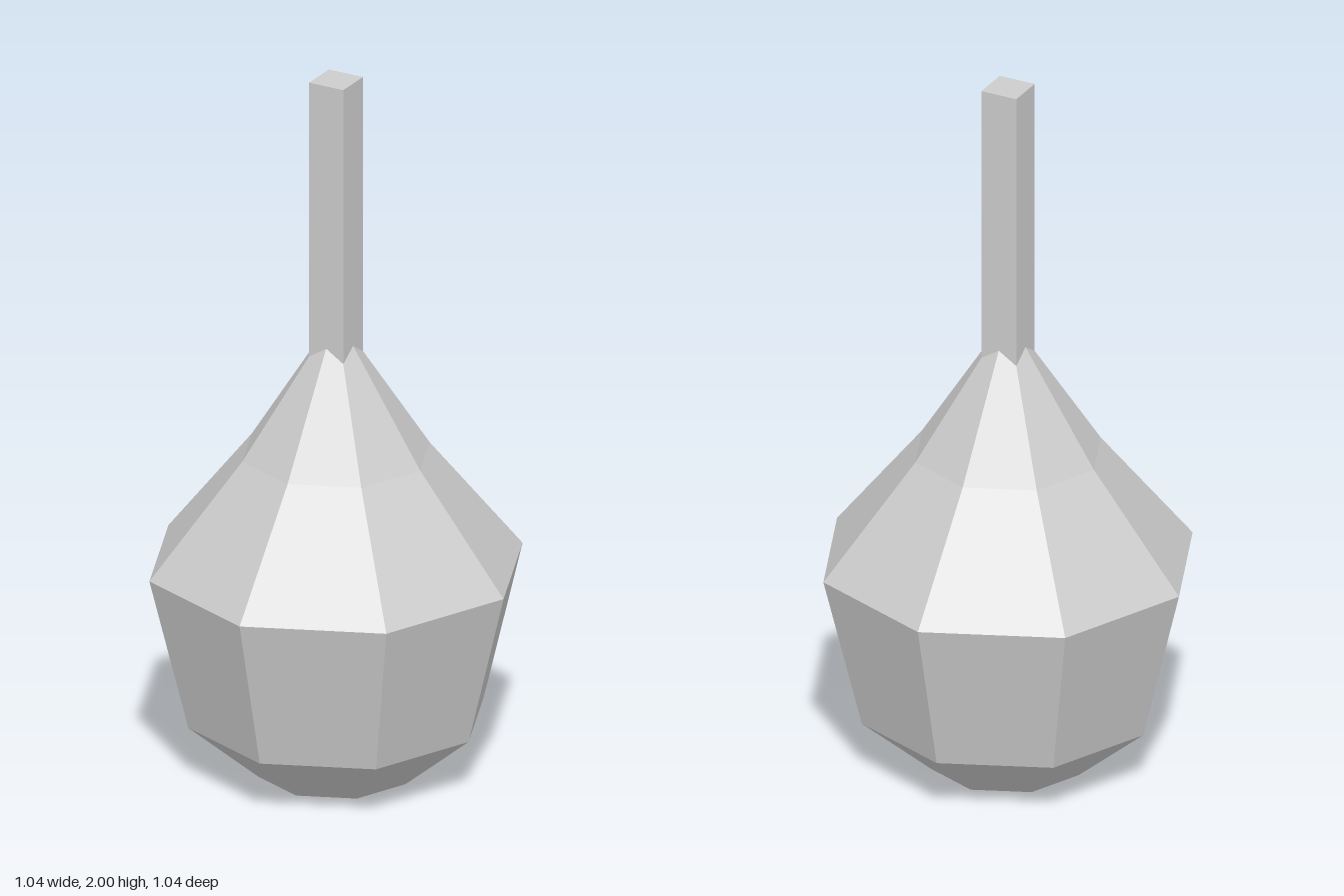
import * as THREE from 'three';

export function createModel() {
  const group = new THREE.Group();
  const grey = new THREE.MeshStandardMaterial({ color: 0xcccccc, flatShading: true });
  grey.name = 'light grey';

  // Eight-sided bulb, closed at both ends, with corners on the axes
  const profile = [[0, 0], [0.215, 0], [0.41, 0.163], [0.518, 0.6], [0.26, 0.92], [0, 1.32]]
    .map(([r, y]) => new THREE.Vector2(r, y));
  const bulb = new THREE.Mesh(new THREE.LatheGeometry(profile, 8), grey);
  bulb.name = 'bulb';
  group.add(bulb);

  // Square stem sunk into the tip of the bulb
  const bottom = 1.15, top = 2, width = 0.106;
  const stem = new THREE.Mesh(new THREE.BoxGeometry(width, top - bottom, width), grey);
  stem.position.y = (top + bottom) / 2;
  stem.name = 'stem';
  group.add(stem);

  return group;
}
